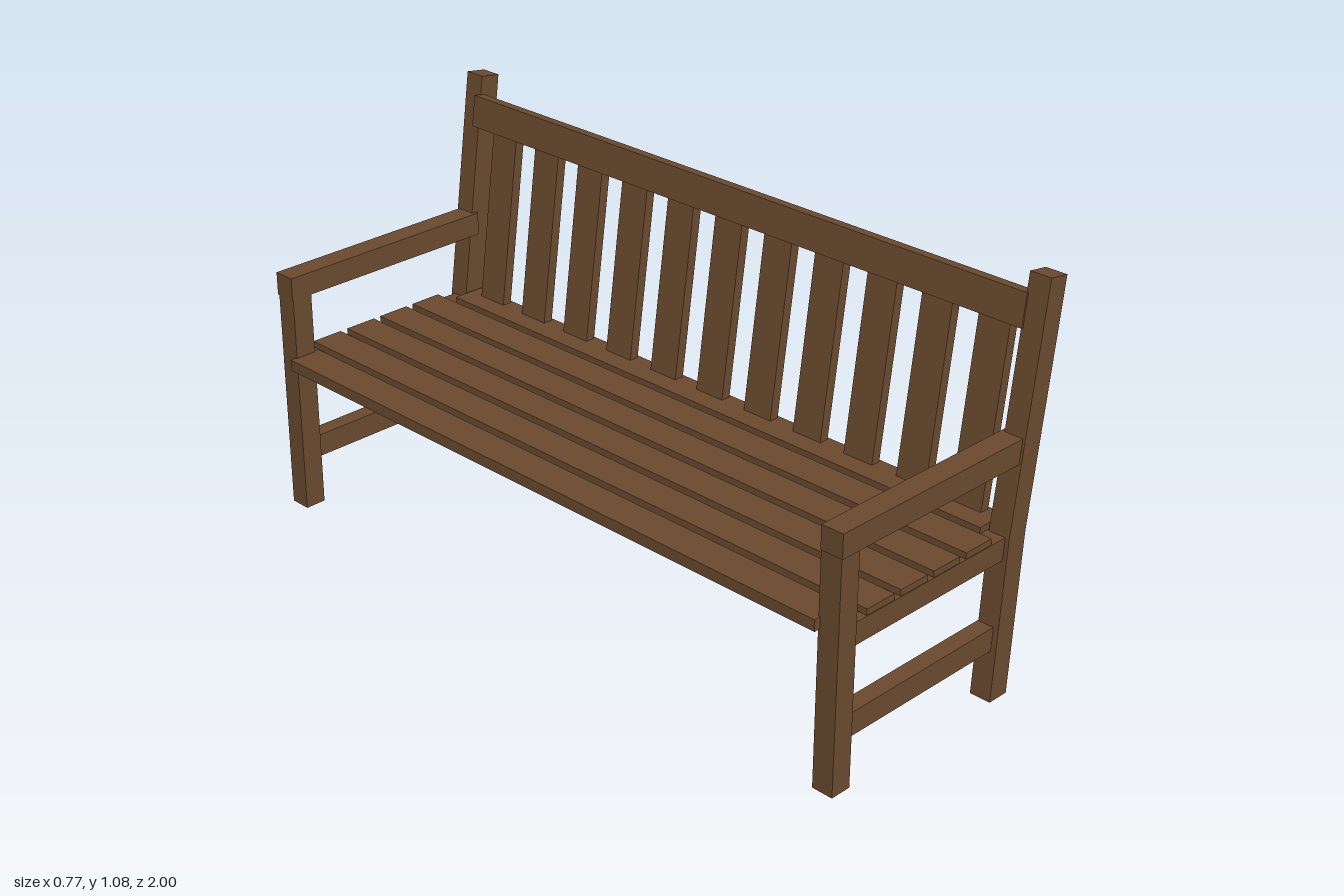
import * as THREE from 'three';

export function createModel() {
  const bench = new THREE.Group();
  bench.name = 'gardenBench';
  const wood = new THREE.MeshStandardMaterial({ color: 0x6b4a2f, flatShading: true });

  // Straight board given by its limits on each axis
  function board(name, x0, x1, y0, y1, z0, z1, parent = bench) {
    const mesh = new THREE.Mesh(new THREE.BoxGeometry(x1 - x0, y1 - y0, Math.abs(z1 - z0)), wood);
    mesh.position.set((x0 + x1) / 2, (y0 + y1) / 2, (z0 + z1) / 2);
    mesh.name = name;
    parent.add(mesh);
  }

  // Board with a side profile in x/y, extruded along z
  function profileBoard(name, points, z0, z1, parent = bench) {
    const shape = new THREE.Shape(points.map(([x, y]) => new THREE.Vector2(x, y)));
    const depth = Math.abs(z1 - z0);
    const geometry = new THREE.ExtrudeGeometry(shape, { depth, bevelEnabled: false });
    const mesh = new THREE.Mesh(geometry, wood);
    mesh.position.z = Math.min(z0, z1);
    mesh.name = name;
    parent.add(mesh);
  }

  // End frames: front leg, bent back post, armrest and rails
  for (const side of [1, -1]) {
    const frame = new THREE.Group();
    frame.name = side > 0 ? 'leftEndFrame' : 'rightEndFrame';
    bench.add(frame);
    const shift = side > 0 ? 0 : 0.014; // the far post sits slightly further back
    const post = [[0.195, 0], [0.258, 0], [0.286, 0.44], [0.37, 1.071], [0.31, 1.08], [0.224, 0.44]];
    profileBoard('backPost', post.map(([x, y]) => [x + shift, y]), side * 0.94, side, frame);
    board('frontLeg', -0.37, -0.31, 0, 0.626, side * 0.93, side * 0.99, frame);
    board('armrest', -0.372, 0.285, 0.626, 0.69, side * 0.93, side * 0.993, frame);
    board('seatRail', -0.315, 0.25, 0.38, 0.44, side * 0.935, side * 0.988, frame);
    board('lowerStretcher', -0.315, 0.23, 0.136, 0.2, side * 0.938, side * 0.985, frame);
  }

  // Seat slats: the first and last fit between the legs, the rest lie over the rails
  for (let i = 0; i < 6; i++) {
    const x = -0.388 + i * 0.117;
    const halfLength = i === 0 || i === 5 ? 0.935 : 0.986;
    board('seatSlat', x, x + 0.094, 0.426, 0.457, -halfLength, halfLength);
  }

  // Leaning top rail
  profileBoard('topRail', [[0.287, 0.944], [0.319, 0.94], [0.331, 1.026], [0.299, 1.03]], -0.945, 0.945);

  // Eleven upright slats fixed behind the top rail
  const slat = [[0.254, 0.45], [0.282, 0.45], [0.354, 0.986], [0.326, 0.99]];
  for (let i = 0; i < 11; i++) {
    const z = -0.845 + i * 0.169;
    profileBoard('backSlat', slat, z - 0.046, z + 0.046);
  }

  return bench;
}
